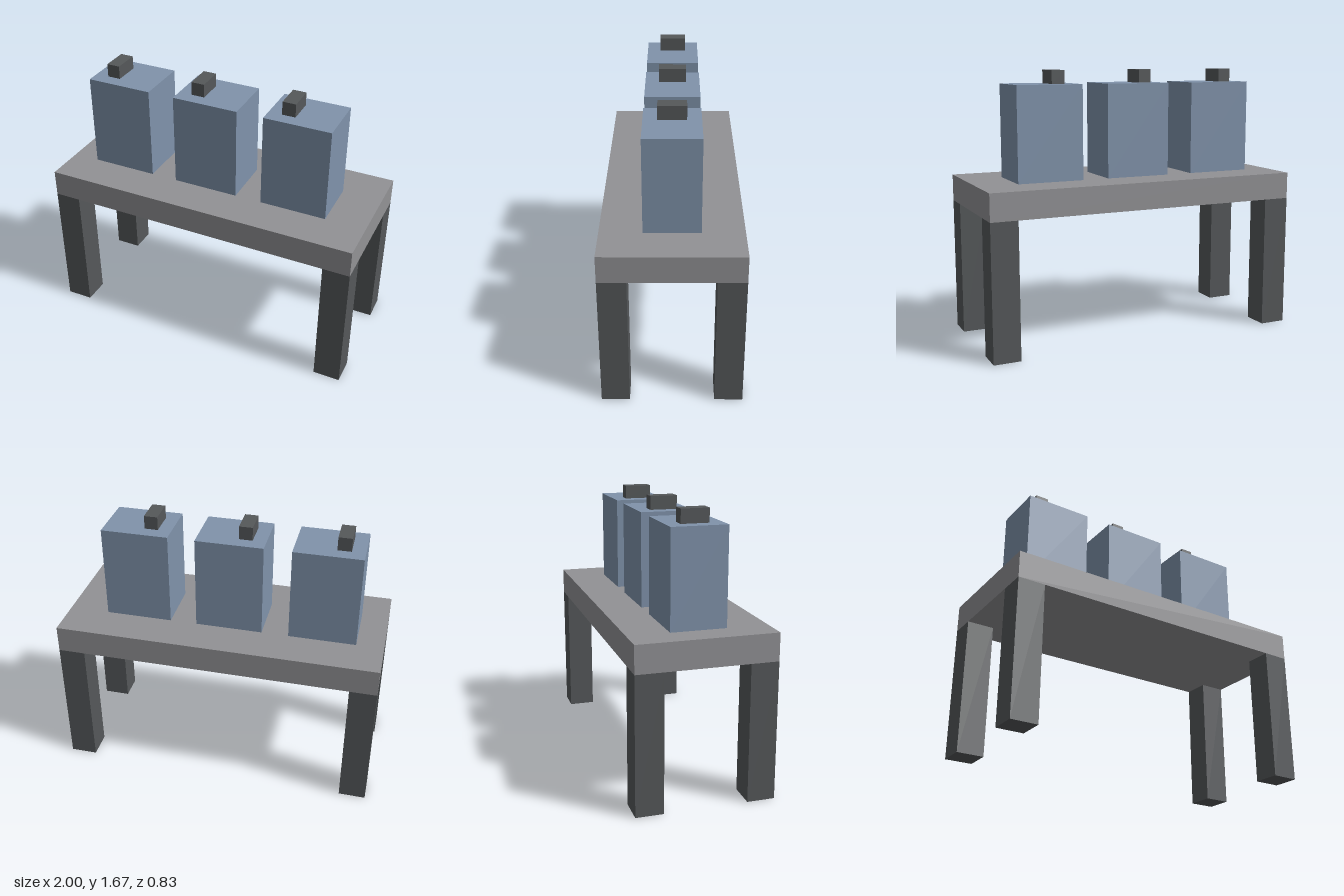
import * as THREE from 'three';

const U = 1 / 12; // the model sits on a grid of twelfths

export function createModel() {
  const model = new THREE.Group();
  const material = (name, color) => {
    const m = new THREE.MeshStandardMaterial({ color });
    m.name = name;
    return m;
  };
  const grey = material('tableGrey', 0x929295);
  const blue = material('canisterBlue', 0x8093ab);
  const dark = material('darkGrey', 0x55585a);

  // Box given by its size, its centre in x and z, and its bottom, in grid steps
  const box = (parent, name, mat, [w, h, d], [x, y, z]) => {
    const mesh = new THREE.Mesh(new THREE.BoxGeometry(w * U, h * U, d * U), mat);
    mesh.position.set(x * U, (y + h / 2) * U, z * U);
    mesh.name = name;
    parent.add(mesh);
  };

  // Table: slab on four corner legs
  const table = new THREE.Group();
  table.name = 'table';
  box(table, 'tableTop', grey, [24, 2, 10], [0, 10, 0]);
  for (const [sx, side] of [[1, 'Left'], [-1, 'Right']])
    for (const [sz, end] of [[1, 'front'], [-1, 'back']])
      box(table, `${end}${side}Leg`, dark, [2, 10, 2], [sx * 11, 0, sz * 4]);
  model.add(table);

  // Row of three canisters, each with an off-centre cap
  for (let i = 0; i < 3; i++) {
    const canister = new THREE.Group();
    canister.name = `canister${i + 1}`;
    const x = -7.5 + i * 7;
    box(canister, 'canisterBody', blue, [5, 7, 4], [x, 12, 0]);
    box(canister, 'canisterCap', dark, [1, 1, 2], [x - 1, 19, 0]);
    model.add(canister);
  }
  return model;
}
